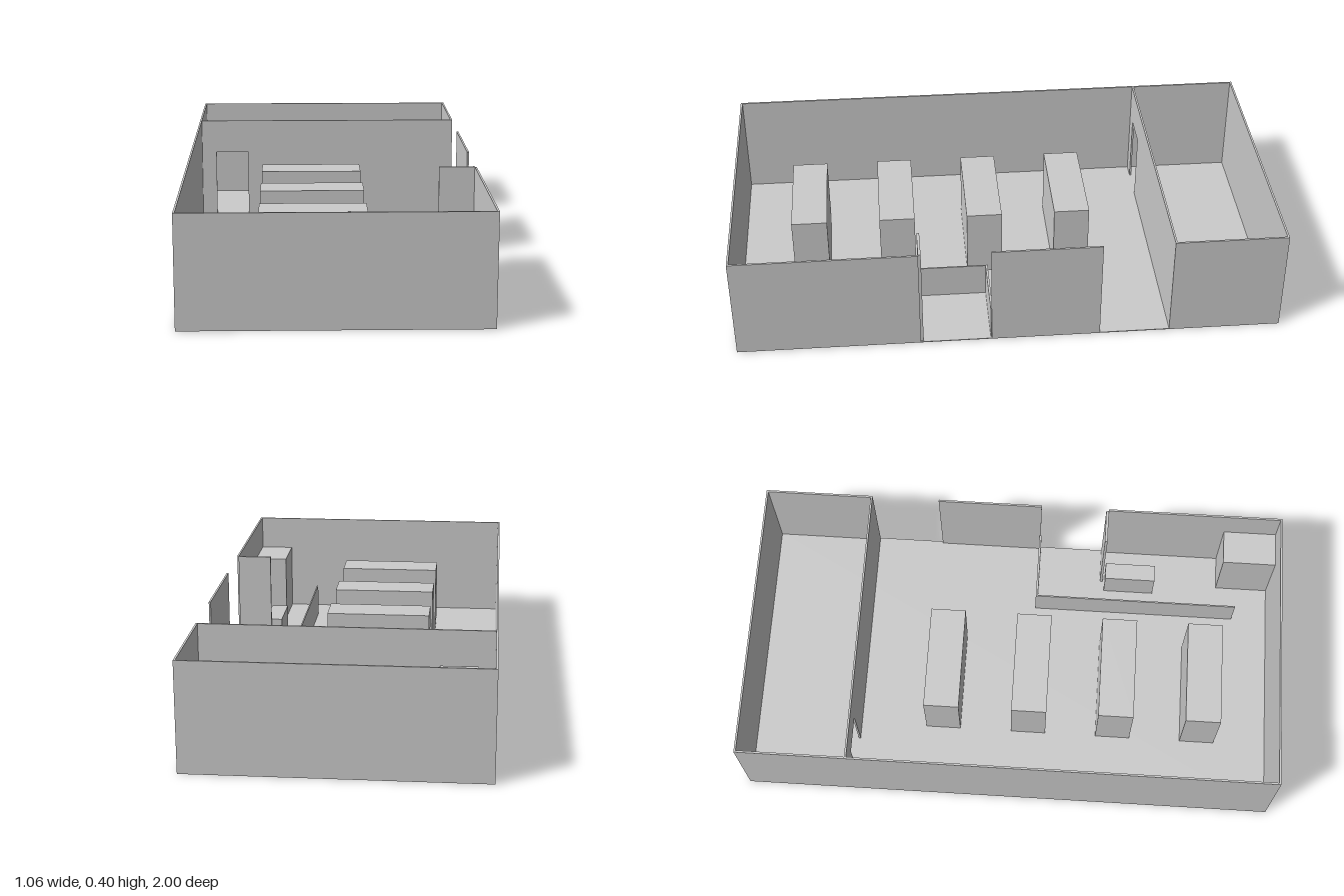
import * as THREE from 'three';

const W = 0.53, L = 1, H = 0.4, T = 0.007;
const LOW = 0.133, MID = 0.267;

export function createModel() {
  const group = new THREE.Group();
  const material = new THREE.MeshStandardMaterial({ color: 0xcccccc, flatShading: true });

  // Box given by its x, y and z limits
  const box = (name, x0, x1, y0, y1, z0, z1) => {
    const mesh = new THREE.Mesh(new THREE.BoxGeometry(x1 - x0, y1 - y0, z1 - z0), material);
    mesh.position.set((x0 + x1) / 2, (y0 + y1) / 2, (z0 + z1) / 2);
    mesh.name = name;
    group.add(mesh);
    return mesh;
  };

  box('floor', -W, W, 0, 0.003, -L, L);

  // Outer walls; the +x side is broken by two openings
  box('frontWall', -W, W, 0, H, L - T, L);
  box('backWall', -W, W, 0, H, -L, -L + T);
  box('rightWall', -W, -W + T, 0, H, -L + T, L - T);
  [[-L + T, -0.59], [-0.33, 0.07], [0.33, L - T]].forEach(([z0, z1], i) =>
    box(`leftWall${i + 1}`, W - T, W, 0, H, z0, z1));

  // Short return wall beside the entrance
  box('entranceReturnWall', 0.393, W - T, 0, H, 0.32, 0.33);

  // Dividing wall with a doorway cut from its lower edge
  const outline = new THREE.Shape([
    [-W + T, 0], [-0.463, 0], [-0.463, MID], [-0.33, MID], [-0.33, 0],
    [W, 0], [W, H], [-W + T, H],
  ].map(([x, y]) => new THREE.Vector2(x, y)));
  const divider = new THREE.Mesh(
    new THREE.ExtrudeGeometry(outline, { depth: T, bevelEnabled: false }), material);
  divider.position.z = -0.595;
  divider.name = 'dividingWall';
  group.add(divider);

  // Low partition around the checkout area
  box('lowPartitionSide', 0.26, 0.265, 0, LOW, 0.065, 0.855);
  box('lowPartitionEnd', 0.265, W - T, 0, LOW, 0.065, 0.073);

  // Checkout desk and corner cabinet
  box('checkoutDesk', 0.353, 0.418, 0, LOW, 0.337, 0.533);
  box('cornerCabinet', 0.393, W - T, 0, MID, 0.79, L - T);

  // Row of shelf units
  [-0.333, 0, 0.33, 0.66].forEach((z, i) =>
    box(`shelfUnit${i + 1}`, -0.265, 0.128, 0, MID, z, z + 0.133));

  return group;
}
